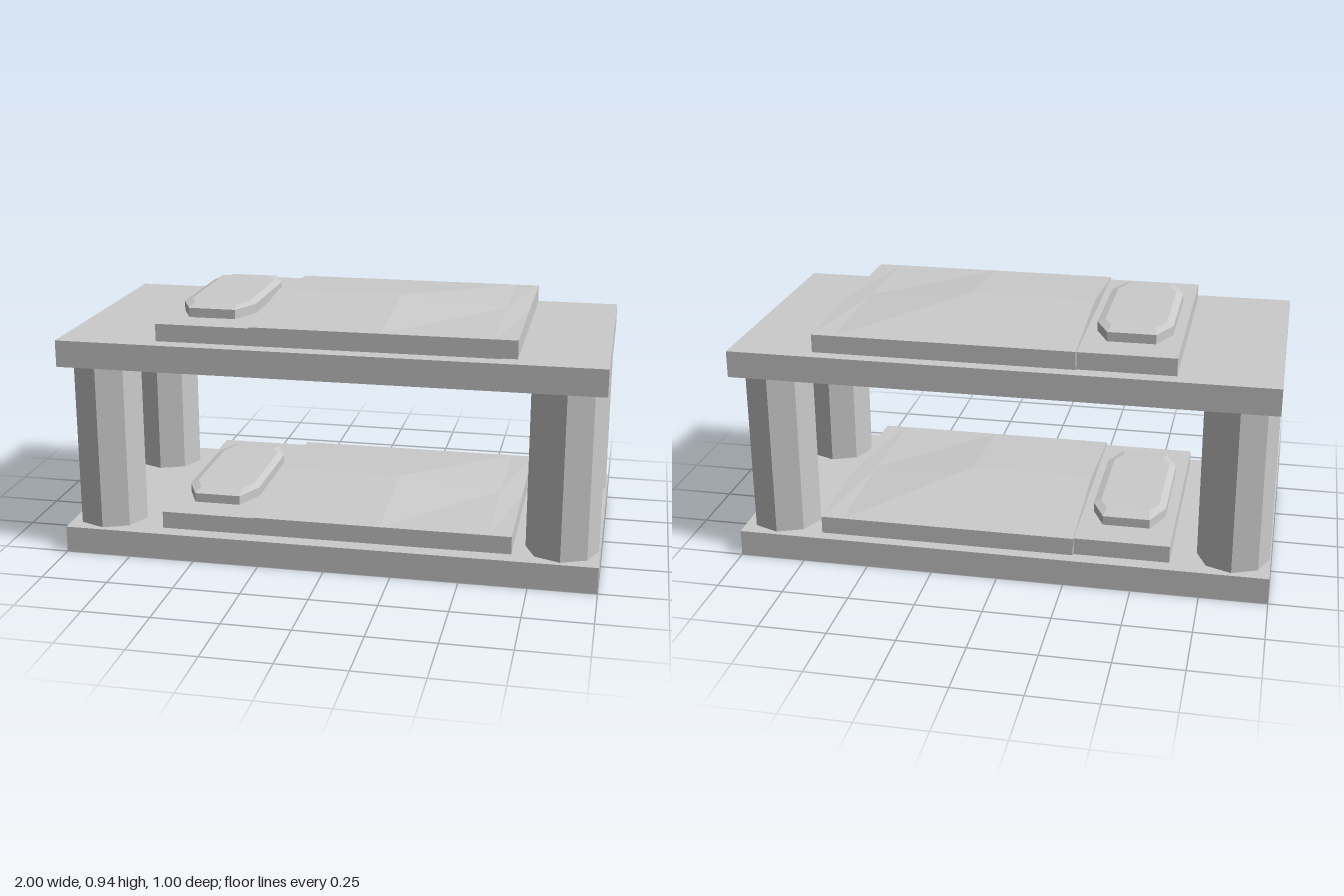
import * as THREE from 'three';

const material = new THREE.MeshStandardMaterial({ color: 0xcccccc, flatShading: true });

function addMesh(parent, name, geometry, x = 0, y = 0, z = 0) {
  const mesh = new THREE.Mesh(geometry, material);
  mesh.name = name;
  mesh.position.set(x, y, z);
  parent.add(mesh);
  return mesh;
}

// Blanket: a box whose top is raised to a ridge that slopes down at the foot
function blanketGeometry() {
  const xs = [-0.28, 0.2, 0.6, 0.685];
  const zs = [-0.462, 0, 0.448];
  const ridge = [0.115, 0.115, 0.082, 0.075];
  const geometry = new THREE.BoxGeometry(3, 1, 2, 3, 1, 2);
  const p = geometry.attributes.position;
  for (let i = 0; i < p.count; i++) {
    const col = Math.round(p.getX(i) + 1.5);
    const row = Math.round(p.getZ(i) + 1);
    const top = row === 1 ? ridge[col] : 0.072;
    p.setXYZ(i, xs[col], p.getY(i) > 0 ? top : 0.005, zs[row]);
  }
  geometry.computeVertexNormals();
  return geometry;
}

// Pillow: stacked cut-corner rings, closed by a flat cap at each end
function pillowGeometry() {
  const rings = [
    { y: 0, hx: 0.138, hz: 0.31, cx: 0.088, cz: 0.2 },
    { y: 0.035, hx: 0.138, hz: 0.31, cx: 0.088, cz: 0.2 },
    { y: 0.044, hx: 0.112, hz: 0.25, cx: 0.08, cz: 0.19 },
  ];
  const positions = [];
  const index = [];
  for (const { y, hx, hz, cx, cz } of rings) {
    const outline = [[hx, -cz], [hx, cz], [cx, hz], [-cx, hz], [-hx, cz], [-hx, -cz], [-cx, -hz], [cx, -hz]];
    for (const [x, z] of outline) positions.push(x, y, z);
  }
  for (let r = 0; r < rings.length - 1; r++) {
    for (let i = 0; i < 8; i++) {
      const a = r * 8 + i;
      const b = r * 8 + (i + 1) % 8;
      index.push(a, a + 8, b, b, a + 8, b + 8);
    }
  }
  const last = (rings.length - 1) * 8;
  for (let i = 1; i < 7; i++) {
    index.push(0, i, i + 1);
    index.push(last, last + i + 1, last + i);
  }
  const geometry = new THREE.BufferGeometry();
  geometry.setAttribute('position', new THREE.Float32BufferAttribute(positions, 3));
  geometry.setIndex(index);
  geometry.computeVertexNormals();
  return geometry;
}

// One bunk: base board, mattress, blanket and pillow
function createBunk(name, y) {
  const bunk = new THREE.Group();
  bunk.name = name;
  bunk.position.y = y;
  addMesh(bunk, 'baseBoard', new THREE.BoxGeometry(2, 0.1, 1), 0, 0.05, 0);
  addMesh(bunk, 'mattress', new THREE.BoxGeometry(1.265, 0.065, 0.88), -0.0025, 0.1325, -0.003);
  addMesh(bunk, 'blanket', blanketGeometry(), 0, 0.1, 0);
  addMesh(bunk, 'pillow', pillowGeometry(), -0.457, 0.165, 0);
  return bunk;
}

export function createModel() {
  const model = new THREE.Group();
  model.name = 'bunkBed';
  model.add(createBunk('lowerBunk', 0), createBunk('upperBunk', 0.73));

  // Octagonal corner posts between the two boards
  const postGeometry = new THREE.CylinderGeometry(0.134, 0.134, 0.63, 8);
  for (const x of [-1, 1]) {
    for (const z of [-1, 1]) {
      const name = (z > 0 ? 'front' : 'back') + (x > 0 ? 'Left' : 'Right') + 'Post';
      addMesh(model, name, postGeometry, x * 0.862, 0.415, z * 0.345);
    }
  }
  return model;
}
